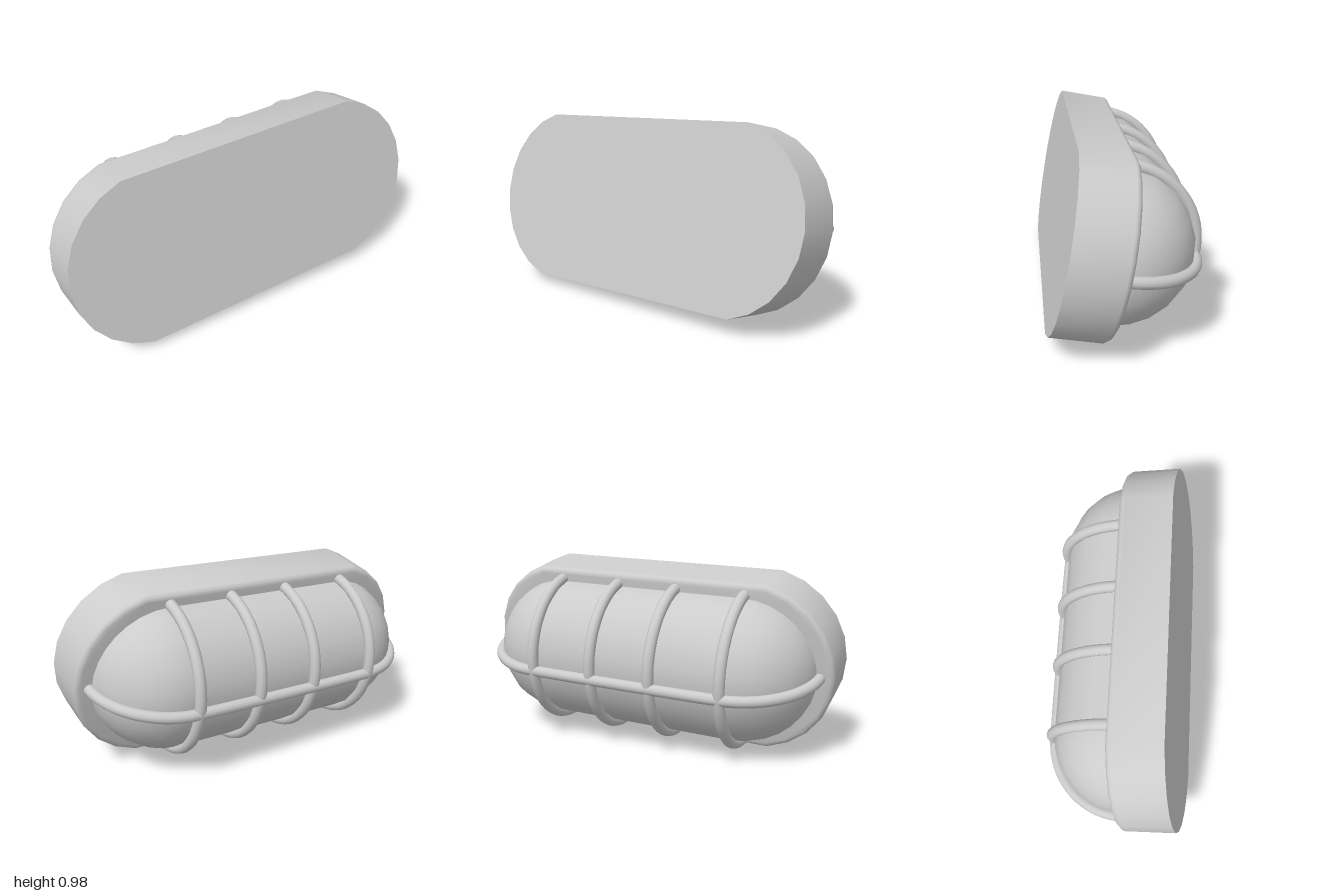
import * as THREE from 'three';
import { toCreasedNormals } from 'three/addons/utils/BufferGeometryUtils.js';

const CENTRE_Z = -0.265; // axis of the dome and cage, measured from the mounting face
const DOME_R = 0.388;
const CAGE_R = 0.4;
const WIRE_R = 0.029;
const HALF = 0.525; // half length of the straight middle part

// Long outline with faceted round ends
function outline() {
  const points = [];
  for (const side of [1, -1]) {
    for (let a = -75; a <= 75; a += 15) {
      const t = THREE.MathUtils.degToRad(a);
      points.push(new THREE.Vector2(side * (0.529 + 0.471 * Math.cos(t)), side * 0.471 * Math.sin(t)));
    }
  }
  return new THREE.Shape(points);
}

export function createModel() {
  const model = new THREE.Group();
  model.name = 'bulkheadLamp';
  const material = new THREE.MeshStandardMaterial({ color: 0xcccccc });

  const lamp = new THREE.Group();
  lamp.name = 'lamp';
  const add = (name, geometry) => {
    const mesh = new THREE.Mesh(geometry, material);
    mesh.name = name;
    lamp.add(mesh);
    return mesh;
  };

  // Base housing
  const body = new THREE.ExtrudeGeometry(outline(), { depth: 0.255, bevelEnabled: false });
  body.translate(0, 0, -0.255);
  add('housing', toCreasedNormals(body, 0.5));

  // Rounded rim on the lamp side of the housing
  const rim = new THREE.ExtrudeGeometry(outline(), {
    depth: 0.002, bevelThickness: 0.03, bevelSize: 0.03, bevelOffset: -0.03, bevelSegments: 4,
  });
  rim.translate(0, 0, -0.255);
  add('housingRim', toCreasedNormals(rim, 0.5));

  // Glass cover: half of a capsule lying along x
  const profile = [];
  for (const side of [-1, 1]) {
    for (let i = 0; i <= 8; i++) {
      const t = (side < 0 ? 8 - i : i) / 8 * Math.PI / 2;
      profile.push(new THREE.Vector2(DOME_R * Math.cos(t), side * (HALF + DOME_R * Math.sin(t))));
    }
  }
  const dome = new THREE.LatheGeometry(profile, 10, Math.PI / 2, Math.PI);
  dome.rotateZ(Math.PI / 2);
  dome.translate(0, 0, CENTRE_Z);
  add('glassCover', dome);

  // Cage hoops across the cover
  for (const x of [-0.535, -0.16, 0.175, 0.52]) {
    const hoop = new THREE.TorusGeometry(CAGE_R, WIRE_R, 12, 32, Math.PI);
    hoop.rotateX(-Math.PI / 2);
    hoop.rotateZ(Math.PI / 2);
    add('cageHoop', hoop).position.set(x, 0, CENTRE_Z);
  }

  // Cage bar running along the cover and down both ends
  const path = [];
  for (const side of [-1, 1]) {
    for (let i = 0; i <= 10; i++) {
      const t = (side < 0 ? i : 10 - i) / 10 * Math.PI / 2;
      path.push(new THREE.Vector3(side * (HALF + CAGE_R * Math.cos(t)), 0, CENTRE_Z - CAGE_R * Math.sin(t)));
    }
  }
  add('cageLongBar', new THREE.TubeGeometry(new THREE.CatmullRomCurve3(path), 80, WIRE_R, 12));

  // The lamp leans about x and rolls slightly about z
  lamp.rotation.set(-THREE.MathUtils.degToRad(11.4), 0, THREE.MathUtils.degToRad(1.8), 'ZXY');
  lamp.position.set(0, 0.518, 0.3);
  model.add(lamp);
  return model;
}
